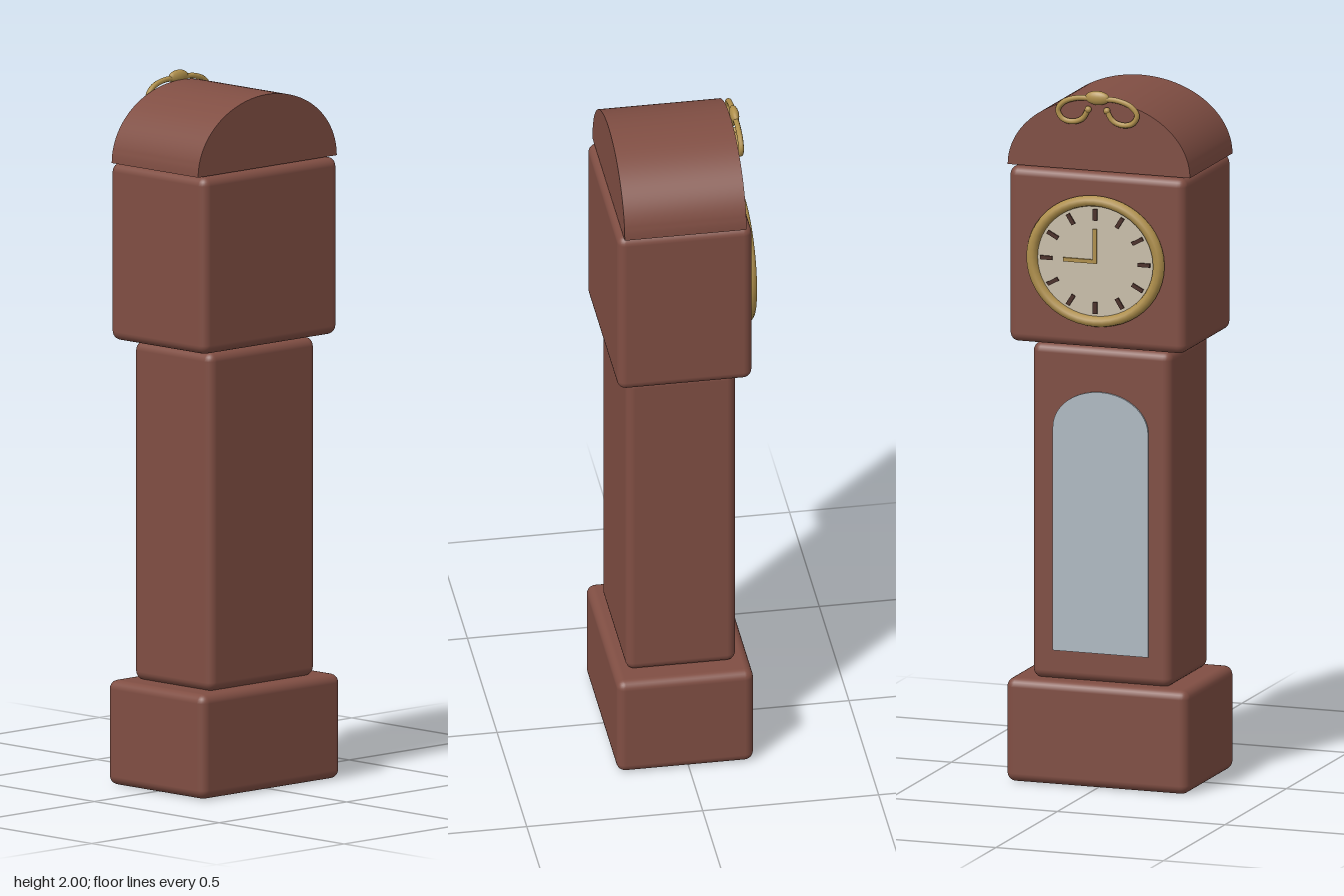
import * as THREE from 'three';
import { RoundedBoxGeometry } from 'three/addons/geometries/RoundedBoxGeometry.js';
import { toCreasedNormals } from 'three/addons/utils/BufferGeometryUtils.js';

const paint = (name, color) => {
  const m = new THREE.MeshStandardMaterial({ color });
  m.name = name;
  return m;
};

export function createModel() {
  const wood = paint('wood', 0x804e43);
  const darkWood = paint('darkWood', 0x4a2f28);
  const brass = paint('brass', 0xb0904c);
  const ivory = paint('ivory', 0xcabfab);
  const glass = paint('glass', 0xb0bac3);

  const clock = new THREE.Group();
  clock.name = 'longcaseClock';

  const add = (parent, name, geometry, material, x = 0, y = 0, z = 0) => {
    const mesh = new THREE.Mesh(geometry, material);
    mesh.name = name;
    mesh.position.set(x, y, z);
    parent.add(mesh);
    return mesh;
  };

  // Rounded case sections: half width, bottom, top, back z, front z
  const section = (name, halfW, y0, y1, z0, z1) =>
    add(clock, name, new RoundedBoxGeometry(halfW * 2, y1 - y0, z1 - z0, 3, 0.025), wood,
      0, (y0 + y1) / 2, (z0 + z1) / 2);
  section('base', 0.272, 0, 0.297, -0.185, 0.203);
  section('trunk', 0.208, 0.295, 1.257, -0.145, 0.167);
  section('head', 0.264, 1.263, 1.766, -0.182, 0.2);

  // Arched hood
  const arch = new THREE.Shape();
  arch.moveTo(-0.272, 0);
  arch.lineTo(0.272, 0);
  arch.absellipse(0, 0, 0.272, 0.205, 0, Math.PI, false);
  const hood = new THREE.ExtrudeGeometry(arch, { depth: 0.346, bevelEnabled: false, curveSegments: 32 });
  add(clock, 'hood', toCreasedNormals(hood, 0.6), wood, 0, 1.768, -0.163);

  // The dial side looks towards -z, so its parts share a turned group
  const face = new THREE.Group();
  face.name = 'dialSide';
  face.rotation.y = Math.PI;
  clock.add(face);

  // Arched window in the trunk
  const pane = new THREE.Shape();
  pane.moveTo(-0.142, 0.38);
  pane.lineTo(0.142, 0.38);
  pane.lineTo(0.142, 1.02);
  pane.absellipse(0, 1.02, 0.142, 0.11, 0, Math.PI, false);
  pane.lineTo(-0.142, 0.38);
  add(face, 'windowPane', new THREE.ExtrudeGeometry(pane, { depth: 0.007, bevelEnabled: false, curveSegments: 20 }),
    glass, 0, 0, 0.144);

  // Dial with bezel, hour marks and hands
  const dial = new THREE.Group();
  dial.name = 'dial';
  dial.position.set(0, 1.515, 0.19);
  dial.scale.y = 0.915;
  face.add(dial);
  add(dial, 'dialPlate', new THREE.CircleGeometry(0.19, 48), ivory, 0, 0, 0.001);
  add(dial, 'bezel', new THREE.TorusGeometry(0.189, 0.017, 10, 48), brass);
  for (let i = 0; i < 12; i++) {
    const a = (i / 12) * Math.PI * 2;
    const mark = add(dial, 'hourMark', new THREE.BoxGeometry(0.012, 0.036, 0.006), darkWood,
      Math.sin(a) * 0.146, Math.cos(a) * 0.146, 0.003);
    mark.rotation.z = -a;
  }
  add(dial, 'minuteHand', new THREE.BoxGeometry(0.012, 0.108, 0.006), brass, 0, 0.048, 0.007);
  add(dial, 'hourHand', new THREE.BoxGeometry(0.1, 0.012, 0.006), brass, -0.044, 0, 0.007);

  // Brass crest: a central boss with mirrored scrolls
  const crest = new THREE.Group();
  crest.name = 'crest';
  crest.position.z = 0.174;
  face.add(crest);
  const boss = add(crest, 'crestBoss', new THREE.SphereGeometry(1, 16, 12), brass, 0, 1.98, 0);
  boss.scale.set(0.037, 0.02, 0.013);
  for (const s of [-1, 1]) {
    const points = [[0.02, 1.978], [0.06, 1.976], [0.1, 1.962], [0.118, 1.938], [0.105, 1.914],
      [0.075, 1.907], [0.045, 1.918], [0.028, 1.945]].map(([x, y]) => new THREE.Vector3(s * x, y, 0));
    add(crest, 'crestScroll', new THREE.TubeGeometry(new THREE.CatmullRomCurve3(points), 36, 0.008, 8), brass);
    const [x, y] = [s * 0.028, 1.945];
    add(crest, 'scrollEnd', new THREE.SphereGeometry(0.01, 10, 8), brass, x, y, 0);
  }
  return clock;
}
